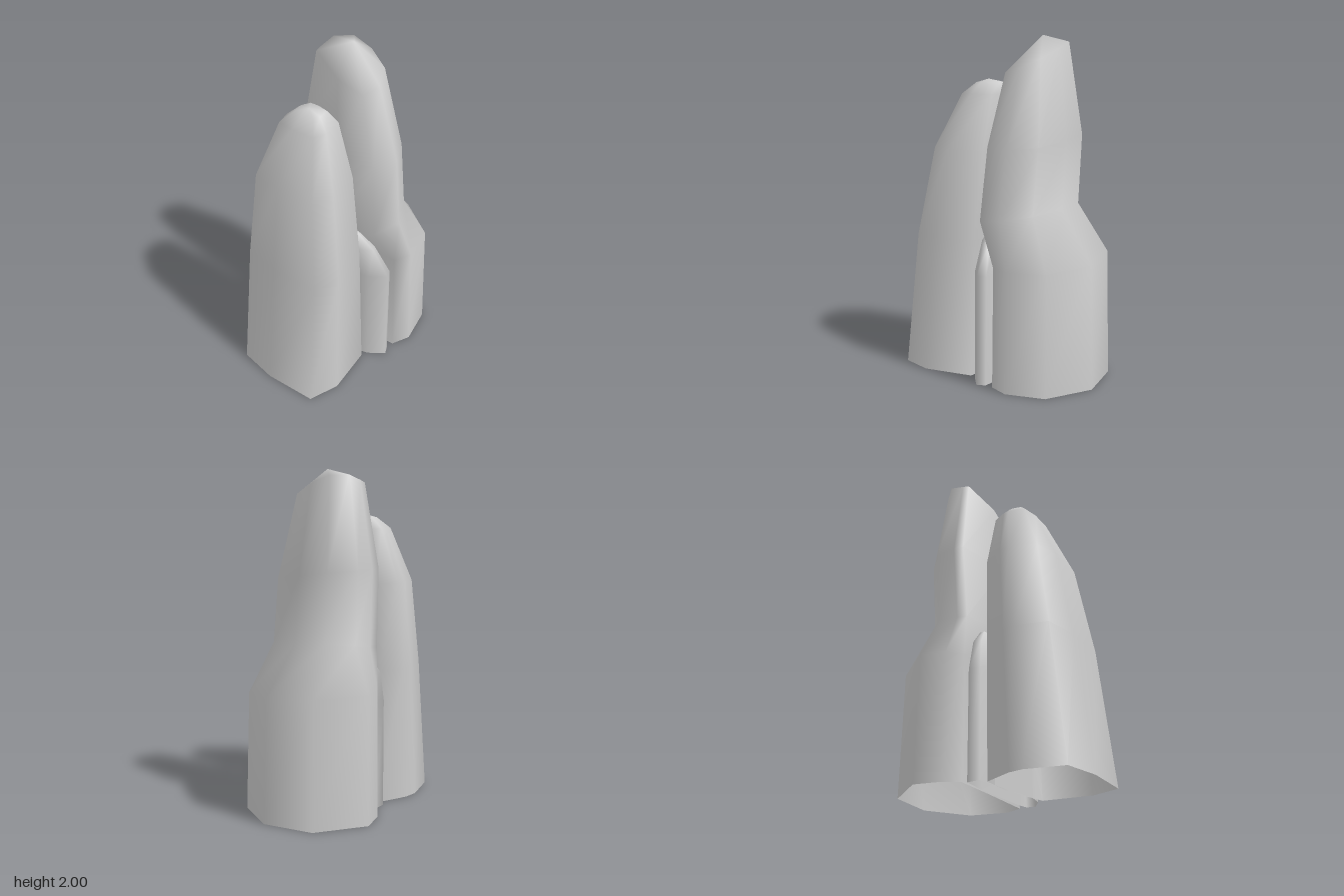
import * as THREE from 'three';

const material = new THREE.MeshStandardMaterial({ color: 0xcccccc, side: THREE.DoubleSide });

// Stretch an outline of [x, z] corners to fill the given bounds
function fit(outline, [x0, x1, z0, z1]) {
  const xs = outline.map(p => p[0]), zs = outline.map(p => p[1]);
  const ax = Math.min(...xs), bx = Math.max(...xs);
  const az = Math.min(...zs), bz = Math.max(...zs);
  return outline.map(([x, z]) => [
    x0 + (x - ax) / (bx - ax) * (x1 - x0),
    z0 + (z - az) / (bz - az) * (z1 - z0),
  ]);
}

// Loft an open-bottomed rock through tilted rings and close it at a peak.
// level: { y, outline, bounds?, tx?, tz? } where tx and tz slope the ring
function rock(name, levels, peak) {
  const positions = [], index = [], n = levels[0].outline.length;
  for (const { y, outline, bounds, tx = 0, tz = 0 } of levels) {
    const ring = bounds ? fit(outline, bounds) : outline;
    const cx = ring.reduce((s, p) => s + p[0], 0) / n;
    const cz = ring.reduce((s, p) => s + p[1], 0) / n;
    for (const [x, z] of ring) positions.push(x, y + tx * (x - cx) + tz * (z - cz), z);
  }
  positions.push(...peak);
  const apex = levels.length * n;
  for (let r = 0; r < levels.length; r++) {
    for (let i = 0; i < n; i++) {
      const a = r * n + i, b = r * n + (i + 1) % n;
      if (r === levels.length - 1) index.push(a, apex, b);
      else index.push(a, a + n, b, b, a + n, b + n);
    }
  }
  const geometry = new THREE.BufferGeometry();
  geometry.setAttribute('position', new THREE.Float32BufferAttribute(positions, 3));
  geometry.setIndex(index);
  geometry.computeVertexNormals();
  const mesh = new THREE.Mesh(geometry, material);
  mesh.name = name;
  return mesh;
}

export function createModel() {
  const group = new THREE.Group();
  group.name = 'rockPillars';

  // Tall pillar: wide foot, sloping shoulder and narrower column
  const foot = [[0.23, -0.42], [0.52, -0.26], [0.61, 0.04], [0.49, 0.32], [0.27, 0.41],
    [0.15, 0.38], [0.06, 0], [0, -0.28], [0.08, -0.36]];
  const column = [[0.2, -0.29], [0.34, -0.18], [0.37, 0.02], [0.33, 0.24], [0.18, 0.35],
    [0.01, 0.32], [-0.05, 0.07], [-0.01, -0.27], [0.06, -0.28]];
  group.add(rock('tallPillar', [
    { y: 0, outline: foot },
    { y: 0.73, outline: foot, bounds: [0, 0.59, -0.41, 0.39], tz: -0.07 },
    { y: 0.99, outline: column, tx: 0.14, tz: -0.06 },
    { y: 1.41, outline: column, bounds: [-0.03, 0.37, -0.315, 0.3], tz: -0.12 },
    { y: 1.89, outline: column, bounds: [0.015, 0.295, -0.23, 0.165], tx: 0.25, tz: -0.38 },
  ], [0.17, 2, -0.05]));

  // Medium pillar: straight inner side, outer side curving in to a rounded top
  const base = [[-0.31, -0.26], [-0.11, -0.2], [-0.06, 0.03], [-0.07, 0.32], [-0.36, 0.41],
    [-0.55, 0.38], [-0.62, 0.07], [-0.62, -0.17], [-0.4, -0.26]];
  group.add(rock('mediumPillar', [
    { y: 0, outline: base },
    { y: 0.82, outline: base, bounds: [-0.53, -0.065, -0.26, 0.37] },
    { y: 1.34, outline: base, bounds: [-0.455, -0.06, -0.24, 0.28] },
    { y: 1.66, outline: base, bounds: [-0.32, -0.08, -0.15, 0.15] },
    { y: 1.725, outline: base, bounds: [-0.25, -0.12, -0.08, 0.08] },
  ], [-0.2, 1.745, 0]));

  // Thin slab wedged between the pillars, ending in a ridge
  const slab = [[-0.02, -0.26], [0.03, -0.08], [0.1, 0.31], [0.1, 0.38], [0.055, 0.41],
    [-0.03, 0.33], [-0.07, 0.23], [-0.1, -0.25]];
  group.add(rock('thinSlab', [
    { y: 0, outline: slab },
    { y: 0.65, outline: slab, bounds: [-0.1, 0.1, -0.26, 0.4] },
    { y: 0.82, outline: slab, bounds: [-0.09, 0.05, -0.24, 0.31] },
    { y: 0.9, outline: slab, bounds: [-0.06, 0.01, -0.18, 0.2] },
  ], [-0.02, 0.91, 0]));

  return group;
}
